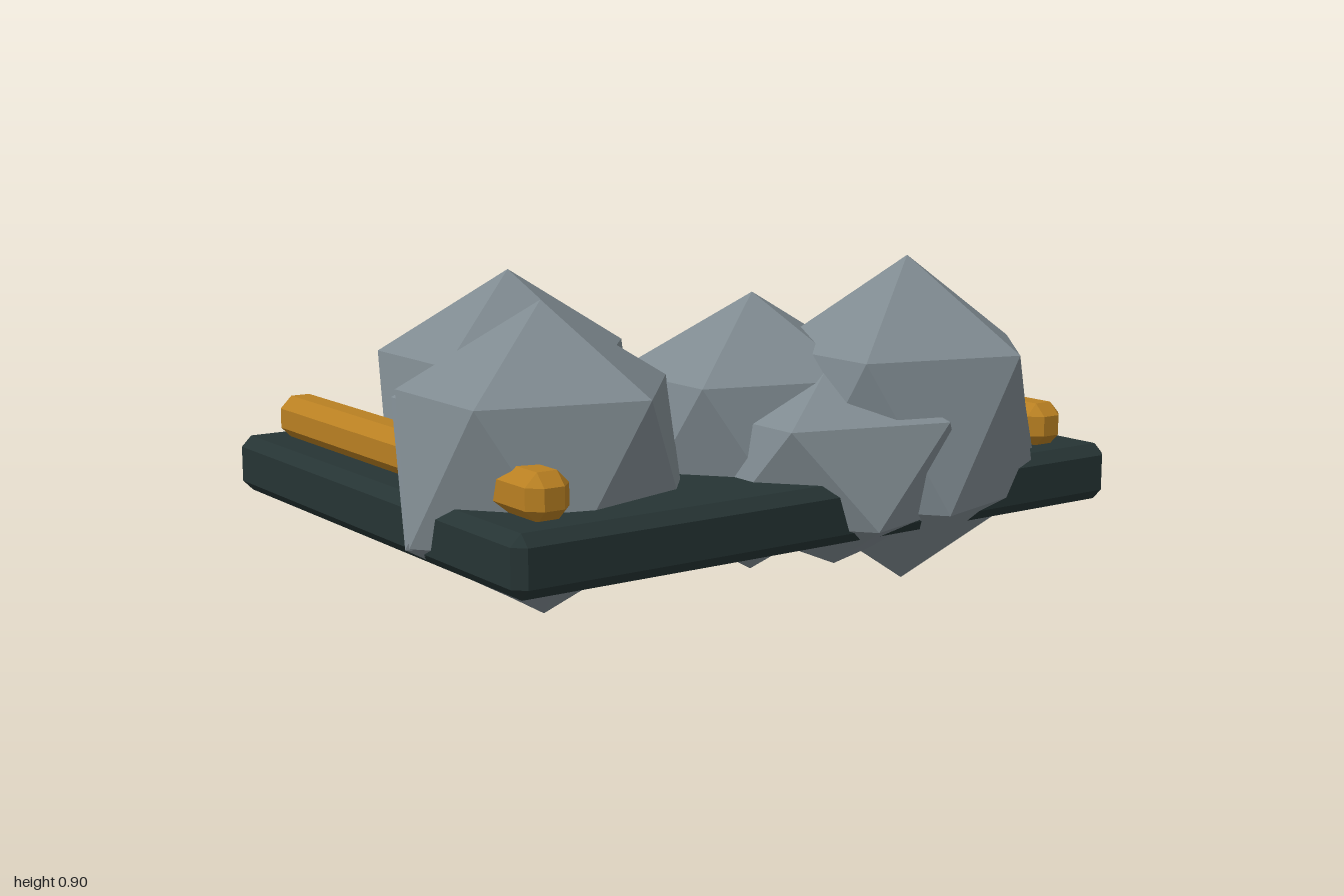
import * as THREE from 'three';
import { ConvexGeometry } from 'three/addons/geometries/ConvexGeometry.js';

const material = (name, color) => {
  const m = new THREE.MeshStandardMaterial({ color });
  m.name = name;
  return m;
};

// Box with every edge cut flat by c
function chamferedBox(w, h, d, c) {
  const points = [];
  for (const x of [-1, 1]) for (const y of [-1, 1]) for (const z of [-1, 1]) {
    const [a, b, e] = [w / 2, h / 2, d / 2];
    points.push(
      new THREE.Vector3(x * a, y * (b - c), z * (e - c)),
      new THREE.Vector3(x * (a - c), y * b, z * (e - c)),
      new THREE.Vector3(x * (a - c), y * (b - c), z * e));
  }
  return new ConvexGeometry(points);
}

// Unit icosahedron standing on a point, upper ring starting at +x
function rockGeometry() {
  const points = [new THREE.Vector3(0, 1, 0), new THREE.Vector3(0, -1, 0)];
  const r = 2 / Math.sqrt(5), y = 1 / Math.sqrt(5);
  for (let i = 0; i < 10; i++) {
    const a = i * Math.PI / 5;
    points.push(new THREE.Vector3(r * Math.cos(a), i % 2 ? -y : y, r * Math.sin(a)));
  }
  return new ConvexGeometry(points);
}

export function createModel() {
  const model = new THREE.Group();
  const dark = material('dark slate', 0x263434);
  const amber = material('amber', 0xb98022);
  const stone = material('stone grey', 0x7f8a90);

  const add = (name, geometry, mat, x, y, z) => {
    const mesh = new THREE.Mesh(geometry, mat);
    mesh.name = name;
    mesh.position.set(x, y, z);
    model.add(mesh);
    return mesh;
  };

  // Tray slab
  add('base', chamferedBox(1.96, 0.16, 1.56, 0.03), dark, 0.02, 0.28, -0.04);

  // Side rails
  const rail = chamferedBox(0.124, 0.124, 1.41, 0.034);
  add('rightRail', rail, amber, -0.808, 0.416, -0.042);
  add('leftRail', rail, amber, 0.842, 0.416, -0.042);

  // Rocks sunk through the slab: x, y, z, half height
  const rock = rockGeometry();
  const rocks = [
    [-0.61, 0.43, 0.289, 0.408],
    [-0.61, 0.415, 0.268, 0.39],
    [-0.353, 0.435, -0.3, 0.415],
    [0.08, 0.422, 0.267, 0.388],
    [0.433, 0.457, 0.5, 0.452],
    [0.54, 0.389, 0.41, 0.339],
    [0.204, 0.369, 0.48, 0.294],
  ];
  rocks.forEach(([x, y, z, h], i) => {
    add(`rock${i + 1}`, rock, stone, x, y, z).scale.set(0.432, h, 0.376);
  });

  return model;
}
